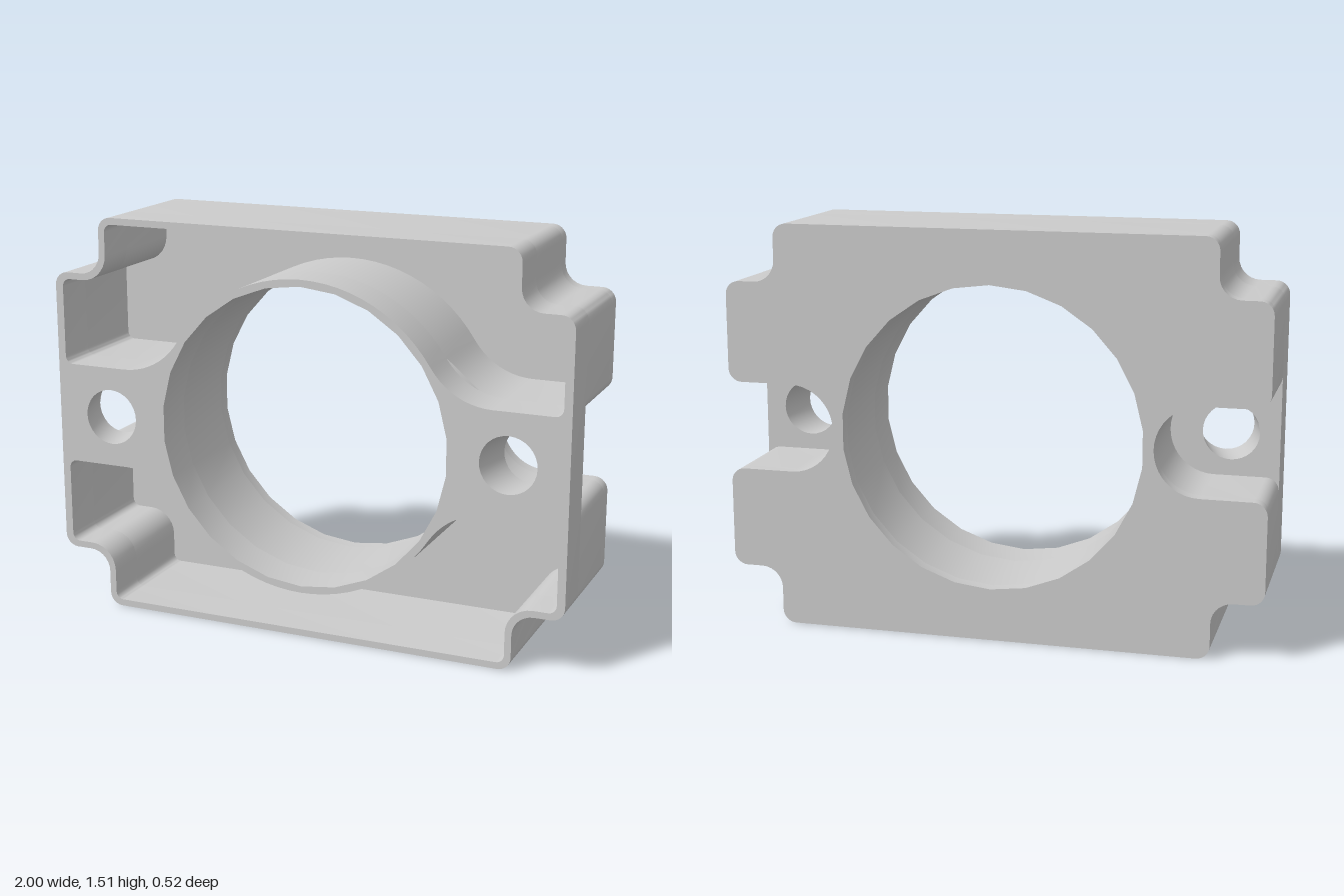
import * as THREE from 'three';
import { toCreasedNormals } from 'three/addons/utils/BufferGeometryUtils.js';

const MID_Y = 0.755;               // height of the centre line
const BACK = -0.26, FLOOR = -0.21, SLOT = 0.1, FRONT = 0.26;
const HOLE_X = 0.78, HOLE_R = 0.105, HOLE_SHIFT = 0.04;
const V = (x, y) => new THREE.Vector2(x, y);

// Closed polygon from [x, y, radius] corners; right-angled corners become arcs
function rounded(corners, segments = 7) {
  const pts = [];
  corners.forEach(([x, y, r], i) => {
    const p = V(x, y);
    if (!r) return pts.push(p);
    const n = corners.length;
    const u = V(...corners[(i + n - 1) % n]).sub(p).normalize();
    const v = V(...corners[(i + 1) % n]).sub(p).normalize();
    for (let k = 0; k <= segments; k++) {
      const t = (k / segments) * Math.PI / 2;
      pts.push(p.clone().addScaledVector(u, r * (1 - Math.sin(t))).addScaledVector(v, r * (1 - Math.cos(t))));
    }
  });
  return pts;
}

function arc(cx, cy, r, from, to, n) {
  const out = [];
  for (let i = 0; i <= n; i++) {
    const a = from + (to - from) * i / n;
    out.push([cx + r * Math.cos(a), cy + r * Math.sin(a), 0]);
  }
  return out;
}

// Mirror a run of corners across x = 0, keeping the path continuous
const mirrorX = (list) => list.map(([x, y, r]) => [-x, y, r]).reverse();

// Cross-shaped outline, optionally with the two side slots
function outline(slotted) {
  const slot = slotted ? [
    [1, -0.165, 0.05],
    ...arc(0.76, 0, 0.165, -Math.PI / 2, -Math.PI * 1.5, 20),
    [1, 0.165, 0.05],
  ] : [];
  const half = [
    [0.81, -0.755, 0.05], [0.81, -0.54, 0.08], [1, -0.54, 0.05],
    ...slot,
    [1, 0.54, 0.05], [0.81, 0.54, 0.08], [0.81, 0.755, 0.05],
  ];
  return new THREE.Shape(rounded([...half, ...mirrorX(half)]));
}

// Pocket between the outer wall and the ring; side = 1 upper, -1 lower
function pocket(side) {
  const R = 0.268, cx = 0.72, cy = 0.19 + R;
  const a = Math.atan2(cy, cx);
  const half = [
    ...arc(0, 0, 0.585, Math.PI / 2, a, 12).slice(1),
    ...arc(cx, cy, R, Math.PI + a, Math.PI * 1.5, 10).slice(1),
    [0.97, 0.19, 0.03], [0.97, 0.515, 0.03], [0.785, 0.515, 0.1], [0.785, 0.73, 0.03],
  ];
  const pts = [...half, ...mirrorX(half), [0, 0.585, 0]];
  return new THREE.Path(rounded(pts.map(([x, y, r]) => [x, y * side, r])));
}

const circle = (x, r, n, start = 0) =>
  new THREE.Path(arc(x, 0, r, start, start + Math.PI * 2, n).slice(0, n).map(([px, py]) => V(px, py)));

export function createModel() {
  const group = new THREE.Group();
  group.name = 'mountingBlock';
  const material = new THREE.MeshStandardMaterial({ color: 0xcccccc });

  function layer(name, shape, holes, z0, z1, adjust) {
    shape.holes.push(circle(0, 0.56, 26, Math.PI / 2), ...holes);
    const geometry = new THREE.ExtrudeGeometry(shape, { depth: z1 - z0, bevelEnabled: false });
    if (adjust) adjust(geometry.attributes.position);
    const mesh = new THREE.Mesh(toCreasedNormals(geometry, 0.6), material);
    mesh.name = name;
    mesh.position.set(0, MID_Y, z0);
    group.add(mesh);
  }

  // Lean the screw holes outward towards the back
  function leanHoles(pos) {
    for (let i = 0; i < pos.count; i++) {
      const x = pos.getX(i), s = Math.sign(x);
      if (pos.getZ(i) < 0.01 && Math.hypot(x - s * HOLE_X, pos.getY(i)) < HOLE_R + 0.01) {
        pos.setX(i, x + s * HOLE_SHIFT);
      }
    }
  }

  // Closed back plate, slotted walls, then the front walls with screw holes
  layer('backPlate', outline(true), [], BACK, FLOOR);
  layer('slottedWalls', outline(true), [pocket(1), pocket(-1)], FLOOR, SLOT);
  layer('frontWalls', outline(false),
    [pocket(1), pocket(-1), circle(HOLE_X, HOLE_R, 32), circle(-HOLE_X, HOLE_R, 32)],
    SLOT, FRONT, leanHoles);
  return group;
}
